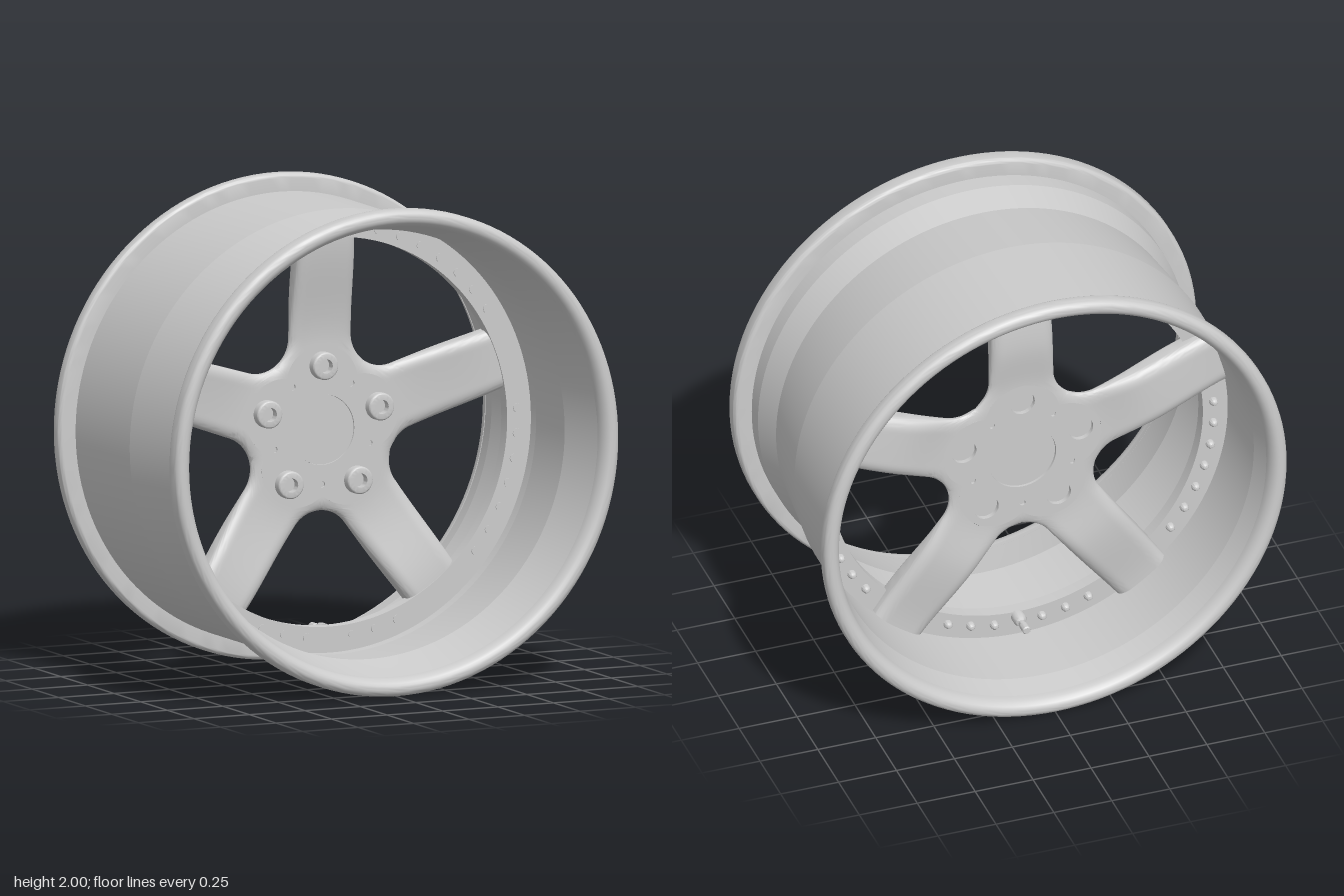
import * as THREE from 'three';
import { mergeGeometries, toCreasedNormals } from 'three/addons/utils/BufferGeometryUtils.js';

const material = new THREE.MeshStandardMaterial({ color: 0xcccccc });
const STEP = Math.PI * 2 / 5, HALF = STEP / 2;
const HUB_FRONT = -0.13, HUB_BACK = -0.175;
const WIDTH = 0.138, FILLET = 0.142, TAPER = 0.03;         // spoke half width, window corner radius, narrowing
const CORNER = (WIDTH + FILLET) / Math.sin(HALF);          // distance of the corner centre from the axis
const CX = CORNER * Math.cos(HALF), CY = CORNER * Math.sin(HALF);
const GAP = CORNER - FILLET, TANGENT = Math.hypot(CX, WIDTH);
const HUB_EDGE = 0.27, TIP = 0.9;

const smooth = THREE.MathUtils.smoothstep, lerp = THREE.MathUtils.lerp;

function mesh(name, geometry) {
  const m = new THREE.Mesh(geometry, material);
  m.name = name;
  return m;
}

// Surface of revolution about z from [radius, z] pairs
function turned(points, segments, crease = 0.5) {
  const g = new THREE.LatheGeometry(points.map(p => new THREE.Vector2(...p)), segments);
  return toCreasedNormals(g.rotateX(Math.PI / 2), crease);
}

// Points of an elliptical corner in a profile, angles in quarter turns
function corner(r, z, rx, rz, from, to) {
  return Array.from({ length: 7 }, (_, i) => {
    const a = lerp(from, to, i / 6) * Math.PI / 2;
    return [r + rx * Math.cos(a), z + rz * Math.sin(a)];
  });
}

const spokeWidth = r => WIDTH - TAPER * Math.max(0, r - TANGENT);

// Half angle covered by the spoke at a radius
function halfAngle(r) {
  if (r <= GAP) return HALF;
  if (r >= TANGENT) return Math.asin(spokeWidth(r) / r);
  const c = (r * r + CORNER * CORNER - FILLET * FILLET) / (2 * r * CORNER);
  return HALF - Math.acos(Math.min(1, c));
}

// Distance from a point of the spoke to the window edge
function edgeDistance(x, y) {
  const w = spokeWidth(Math.hypot(x, y));
  y = Math.abs(y);
  return Math.max(0, x > CX ? w - y : Math.hypot(x - CX, y - CY) - FILLET);
}

function roundOver(d, width, height) {
  const k = Math.max(0, 1 - d / width);
  return height * (1 - Math.sqrt(1 - k * k));
}

// Scalloped outline where the flat hub meets the spokes
const scallop = t => 0.08 * (1 - t * t);

function spokeGeometry() {
  const rows = [], N = 32, M = 2 * (N + 1);
  for (let i = 0; i < 5; i++) rows.push(lerp(HUB_EDGE, GAP, i / 5));
  for (let i = 0; i < 14; i++) rows.push(lerp(GAP, TANGENT, (i / 14) ** 2));
  for (let i = 0; i <= 16; i++) rows.push(lerp(TANGENT, TIP, i / 16));

  const pos = [], index = [];
  for (const row of rows) {
    const front = [], back = [];
    const fade = (TIP - row) / (TIP - HUB_EDGE);
    for (let i = 0; i <= N; i++) {
      const t = Math.sin((i / N - 0.5) * Math.PI);
      const r = row + scallop(t) * fade, a = t * halfAngle(r);
      const x = r * Math.cos(a), y = r * Math.sin(a), d = edgeDistance(x, y);
      const thick = smooth(r, 0.33, 0.55);
      const zf = lerp(HUB_FRONT, -0.065, smooth(r, 0.35, 0.84));
      const zb = HUB_BACK - 0.02 * thick + 0.03 * smooth(r, 0.55, 0.9);
      front.push([x, y, zf - roundOver(d, 0.05, 0.024 + 0.006 * thick)]);
      back.unshift([x, y, zb + roundOver(d, 0.055, 0.016 + 0.018 * thick)]);
    }
    pos.push(...front.flat(), ...back.flat());
  }
  const quad = (a, b, c, d) => index.push(a, b, c, a, c, d);
  for (let j = 0; j < rows.length - 1; j++)
    for (let k = 0; k < M; k++) {
      const n = (k + 1) % M;
      quad(j * M + k, (j + 1) * M + k, (j + 1) * M + n, j * M + n);
    }
  // End face at the tip
  const last = (rows.length - 1) * M;
  for (let i = 0; i < N; i++) quad(last + M - 1 - i, last + M - 2 - i, last + i + 1, last + i);

  const g = new THREE.BufferGeometry();
  g.setAttribute('position', new THREE.Float32BufferAttribute(pos, 3));
  g.setIndex(index);
  return g;
}

function hubGeometry() {
  const outline = [];
  for (let k = 0; k < 5; k++)
    for (let i = 0; i < 32; i++) {
      const t = Math.sin((i / 32 - 0.5) * Math.PI), r = HUB_EDGE + scallop(t);
      const a = Math.PI / 2 + k * STEP + t * halfAngle(r);
      outline.push(new THREE.Vector2(r * Math.cos(a), r * Math.sin(a)));
    }
  const shape = new THREE.Shape(outline);
  const hole = (r, a, size) => shape.holes.push(
    new THREE.Path().absarc(r * Math.cos(a), r * Math.sin(a), size, 0, Math.PI * 2, true));
  hole(0, 0, 0.145);
  for (let k = 0; k < 5; k++) {
    hole(0.265, Math.PI / 2 + k * STEP, 0.053);
    hole(0.225, Math.PI / 2 + (k + 0.5) * STEP, 0.013);
  }
  const g = new THREE.ExtrudeGeometry(shape, { depth: HUB_FRONT - HUB_BACK, bevelEnabled: false, curveSegments: 24 });
  return toCreasedNormals(g.translate(0, 0, HUB_BACK), 0.6);
}

export function createModel() {
  const model = new THREE.Group();
  model.name = 'wheel';
  const wheel = new THREE.Group();
  wheel.name = 'rimAssembly';
  wheel.position.y = 1;
  model.add(wheel);

  // Barrel walls in crisp bands, closed by rounded lips at both ends
  wheel.add(mesh('outerBarrel', turned([
    [0.925, -0.52], [0.925, -0.01], [0.89, 0.31], [0.925, 0.43], [0.925, 0.51],
  ], 128, 0.07)));
  wheel.add(mesh('innerBarrel', turned([
    [0.925, 0.53], [0.907, 0.43], [0.882, 0.31], [0.907, -0.01], [0.907, -0.43], [0.925, -0.53],
  ], 128, 0.07)));
  wheel.add(mesh('frontLip', turned([
    [0.92, 0.505], ...corner(0.98, 0.525, 0.02, 0.02, -1, 0), ...corner(0.97, 0.56, 0.03, 0.03, 0, 1),
    ...corner(0.965, 0.53, 0.04, 0.06, 1, 2),
  ], 128, 0.6)));
  wheel.add(mesh('rearLip', turned([
    ...corner(0.965, -0.53, 0.04, 0.06, -2, -1), ...corner(0.97, -0.56, 0.03, 0.03, -1, 0),
    ...corner(0.98, -0.538, 0.02, 0.02, 0, 1), [0.92, -0.518],
  ], 128, 0.6)));

  // Flat ring that carries the spokes
  wheel.add(mesh('mountingRing', turned([
    [0.8, -0.115], [0.914, -0.115], [0.914, -0.06], [0.8, -0.06], [0.8, -0.115],
  ], 128)));

  // Five spokes blended into the hub
  const spoke = spokeGeometry();
  const spokes = [];
  for (let k = 0; k < 5; k++) spokes.push(spoke.clone().rotateZ(Math.PI / 2 + k * STEP));
  wheel.add(mesh('spokes', toCreasedNormals(mergeGeometries(spokes), 0.7)));
  wheel.add(mesh('hub', hubGeometry()));
  wheel.add(mesh('centreCap', turned([
    [0, -0.165], [0.144, -0.165], [0.144, -0.135], [0, -0.135],
  ], 64)));

  // Lug sleeves, and plugs part way down the small holes
  const lug = turned([
    [0, -0.155], [0.057, -0.155], [0.057, -0.1], ...corner(0.047, -0.1, 0.01, 0.01, 0, 1), [0.029, -0.09],
    [0.029, -0.125], [0, -0.125],
  ], 32);
  const plug = new THREE.CylinderGeometry(0.014, 0.014, 0.025, 16).rotateX(Math.PI / 2);
  for (let k = 0; k < 5; k++) {
    const a = Math.PI / 2 + k * STEP, b = a + HALF;
    const l = mesh('lugSleeve', lug);
    l.position.set(0.265 * Math.cos(a), 0.265 * Math.sin(a), 0);
    const p = mesh('holePlug', plug);
    p.position.set(0.225 * Math.cos(b), 0.225 * Math.sin(b), -0.152);
    wheel.add(l, p);
  }

  // Ring bolts, seven in every window: domed behind, nearly flush in front
  const bolt = turned([
    [0, -0.146], [0.009, -0.143], [0.015, -0.135], [0.018, -0.125], [0.018, -0.056], [0, -0.056],
  ], 12);
  for (let k = 0; k < 5; k++)
    for (let i = -3; i <= 3; i++) {
      if (k === 2 && i === 0) continue;                    // the valve sits here
      const a = Math.PI / 2 + (k + 0.5) * STEP + i * 0.122;
      const b = mesh('ringBolt', bolt);
      b.position.set(0.845 * Math.cos(a), 0.845 * Math.sin(a), 0);
      wheel.add(b);
    }

  // Valve stem behind the ring at the bottom
  const valve = mesh('valveStem', turned([
    [0, -0.23], [0.014, -0.23], [0.018, -0.225], [0.018, -0.19], [0.013, -0.188], [0.013, -0.165],
    [0.022, -0.16], [0.028, -0.145], [0.028, -0.11], [0, -0.11],
  ], 20));
  valve.position.y = -0.822;
  wheel.add(valve);

  return model;
}
